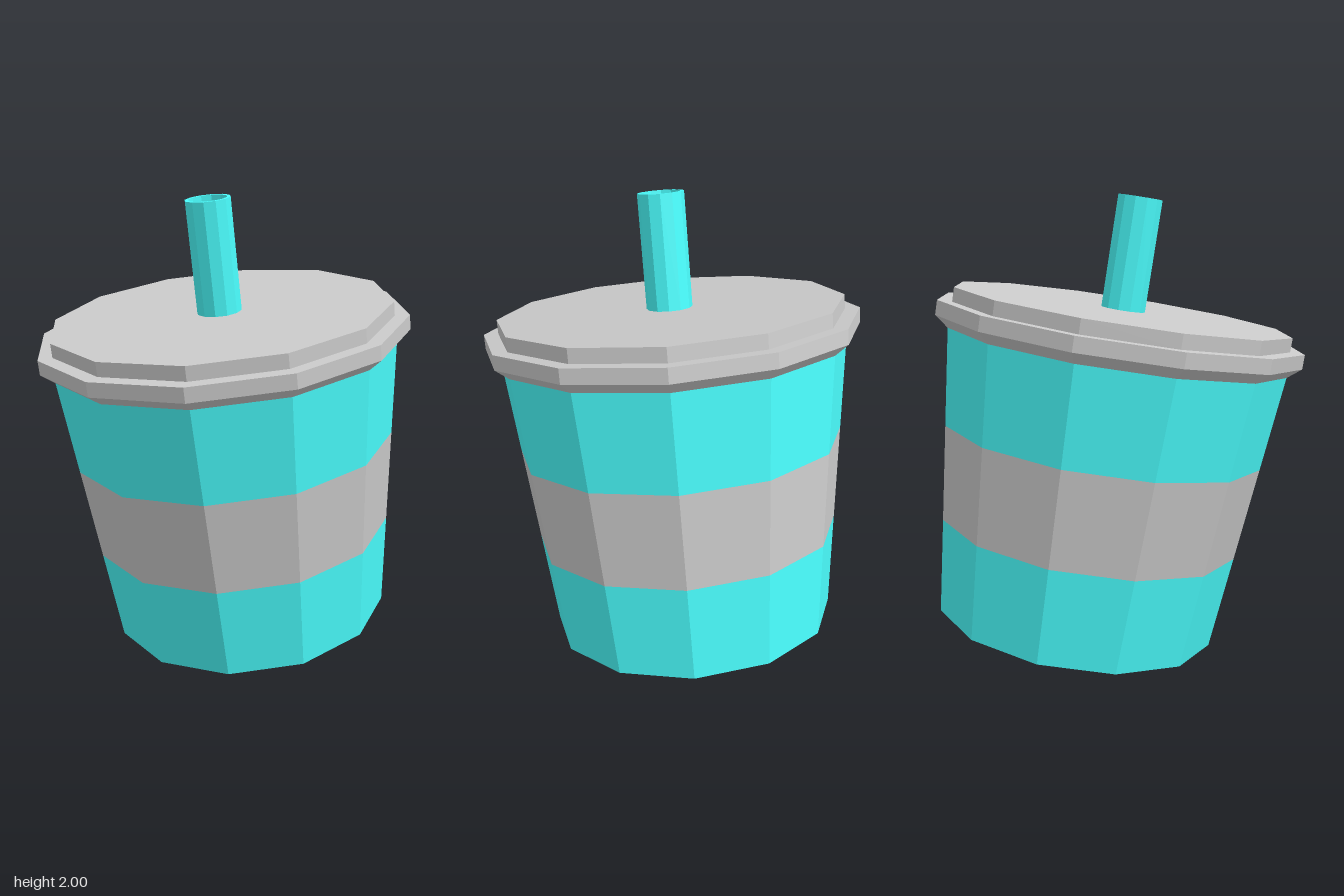
import * as THREE from 'three';

const SIDES = 12;
const grey = new THREE.MeshStandardMaterial({ color: 0xcccccc, flatShading: true });
const aqua = new THREE.MeshStandardMaterial({ color: 0x4affff, flatShading: true });

// Faceted solid turned from [radius, height] pairs, listed from the bottom up
function turned(name, profile, material) {
  const points = profile.map(([r, y]) => new THREE.Vector2(r, y));
  const mesh = new THREE.Mesh(new THREE.LatheGeometry(points, SIDES), material);
  mesh.name = name;
  return mesh;
}

export function createModel() {
  const model = new THREE.Group();
  model.name = 'drinkCup';

  // Everything is built upright, then leaned towards the front
  const cup = new THREE.Group();
  cup.name = 'tiltedCup';
  cup.position.set(0, 0.1, -0.195);
  cup.rotation.x = THREE.MathUtils.degToRad(9);
  model.add(cup);

  // Tapered wall in three equal bands
  const height = 1.253;
  const radiusAt = (t) => THREE.MathUtils.lerp(0.625, 0.75, t);
  ['lowerWall', 'sleeveBand', 'upperWall'].forEach((name, i) => {
    const a = i / 3, b = (i + 1) / 3;
    cup.add(turned(name, [[radiusAt(a), a * height], [radiusAt(b), b * height]], i === 1 ? grey : aqua));
  });

  // Base disc
  cup.add(turned('base', [[0, 0], [0.625, 0]], grey));

  // Lid: flared underside, rim, ledge and raised top
  cup.add(turned('lid', [
    [0.75, height], [0.808, 1.3], [0.808, 1.363],
    [0.745, 1.363], [0.745, 1.424], [0, 1.424],
  ], grey));

  // Hollow straw: outer wall, lip, inner wall
  cup.add(turned('straw', [
    [0.098, 1.424], [0.098, 1.908], [0.083, 1.908], [0.083, 1.424],
  ], aqua));

  return model;
}
